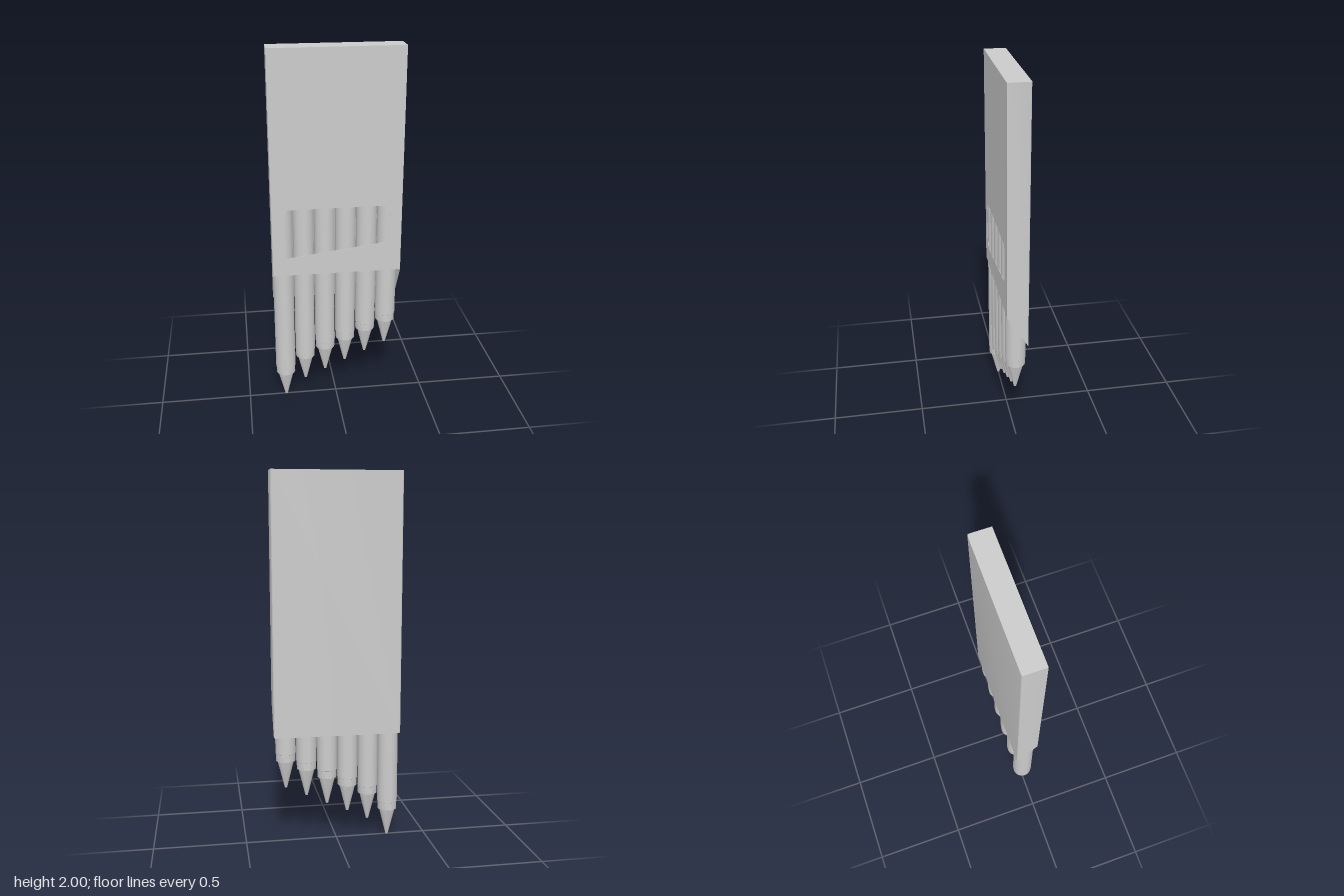
import * as THREE from 'three';
import { toCreasedNormals } from 'three/addons/utils/BufferGeometryUtils.js';

const W = 0.347, D = 0.058, T = 0.002, TOP = 2, FRONT_BOTTOM = 0.79, BACK_BOTTOM = 0.6;
const material = new THREE.MeshStandardMaterial({ color: 0xcccccc, side: THREE.DoubleSide });

function add(parent, name, geometry) {
  const mesh = new THREE.Mesh(geometry, material);
  mesh.name = name;
  parent.add(mesh);
  return mesh;
}

// Points of a U-shaped plan, open to the front, with softened back corners
function planPoints(w, d, r) {
  const pts = [new THREE.Vector2(-w, -D)];
  for (const side of [-1, 1]) {
    for (let i = 0; i <= 4; i++) {
      const a = (side < 0 ? Math.PI : Math.PI / 2) - (i / 4) * Math.PI / 2;
      pts.push(new THREE.Vector2(side * (w - r) + r * Math.cos(a), d - r + r * Math.sin(a)));
    }
  }
  pts.push(new THREE.Vector2(w, -D));
  return pts;
}

// Extrude a plan upwards (shape y becomes -z)
function upright(shape, height, y) {
  const g = new THREE.ExtrudeGeometry(shape, { depth: height, bevelEnabled: false });
  return g.rotateX(-Math.PI / 2).translate(0, y, 0);
}

function createCase() {
  const group = new THREE.Group();
  group.name = 'case';

  // Back and side walls, with the lower rim cut on a slant
  const outer = planPoints(W, D, 0.008);
  const inner = planPoints(W - T, D - T, 0.006).reverse();
  const walls = upright(new THREE.Shape([...outer, ...inner]), TOP, 0);
  const pos = walls.attributes.position;
  for (let i = 0; i < pos.count; i++) {
    if (pos.getY(i) < 1) {
      const k = (pos.getZ(i) + D) / (2 * D);
      pos.setY(i, BACK_BOTTOM + (FRONT_BOTTOM - BACK_BOTTOM) * k);
    }
  }
  add(group, 'backAndSideWalls', toCreasedNormals(walls, 0.7));

  // Closed top
  add(group, 'topPanel', upright(new THREE.Shape(outer), T, TOP - T));

  // Front panel with a bow-ended window
  const panel = new THREE.Shape([
    new THREE.Vector2(-W, FRONT_BOTTOM), new THREE.Vector2(W, FRONT_BOTTOM),
    new THREE.Vector2(W, TOP), new THREE.Vector2(-W, TOP),
  ]);
  const hole = new THREE.Path();
  hole.moveTo(-0.262, 0.89);
  hole.bezierCurveTo(-0.298, 0.9, -0.298, 1.155, -0.262, 1.166);
  hole.lineTo(0.262, 1.166);
  hole.bezierCurveTo(0.292, 1.155, 0.292, 0.97, 0.262, 0.957);
  hole.closePath();
  panel.holes.push(hole);
  const front = new THREE.ExtrudeGeometry(panel, { depth: T, bevelEnabled: false, curveSegments: 10 });
  add(group, 'frontPanel', front.translate(0, 0, D - T));
  return group;
}

// Pen: pointed nib, narrow collar, barrel
function createPen() {
  const r = 0.0555;
  const profile = [
    [0, 0], [0.007, 0.002], [0.045, 0.155], [0.053, 0.155], [0.053, 0.196],
    [r, 0.198], [r, 1.62], [0, 1.62],
  ].map(([x, y]) => new THREE.Vector2(x, y));
  return toCreasedNormals(new THREE.LatheGeometry(profile, 40), 0.5);
}

export function createModel() {
  const model = new THREE.Group();
  model.name = 'penSet';
  model.add(createCase());

  // Row of pens, each standing a little higher than the last
  const pens = new THREE.Group();
  pens.name = 'pens';
  const pen = createPen();
  [0, 0.1, 0.152, 0.203, 0.255, 0.306].forEach((y, i) => {
    add(pens, `pen${i + 1}`, pen).position.set(-0.289 + i * 0.1136, y, 0);
  });
  model.add(pens);
  return model;
}
